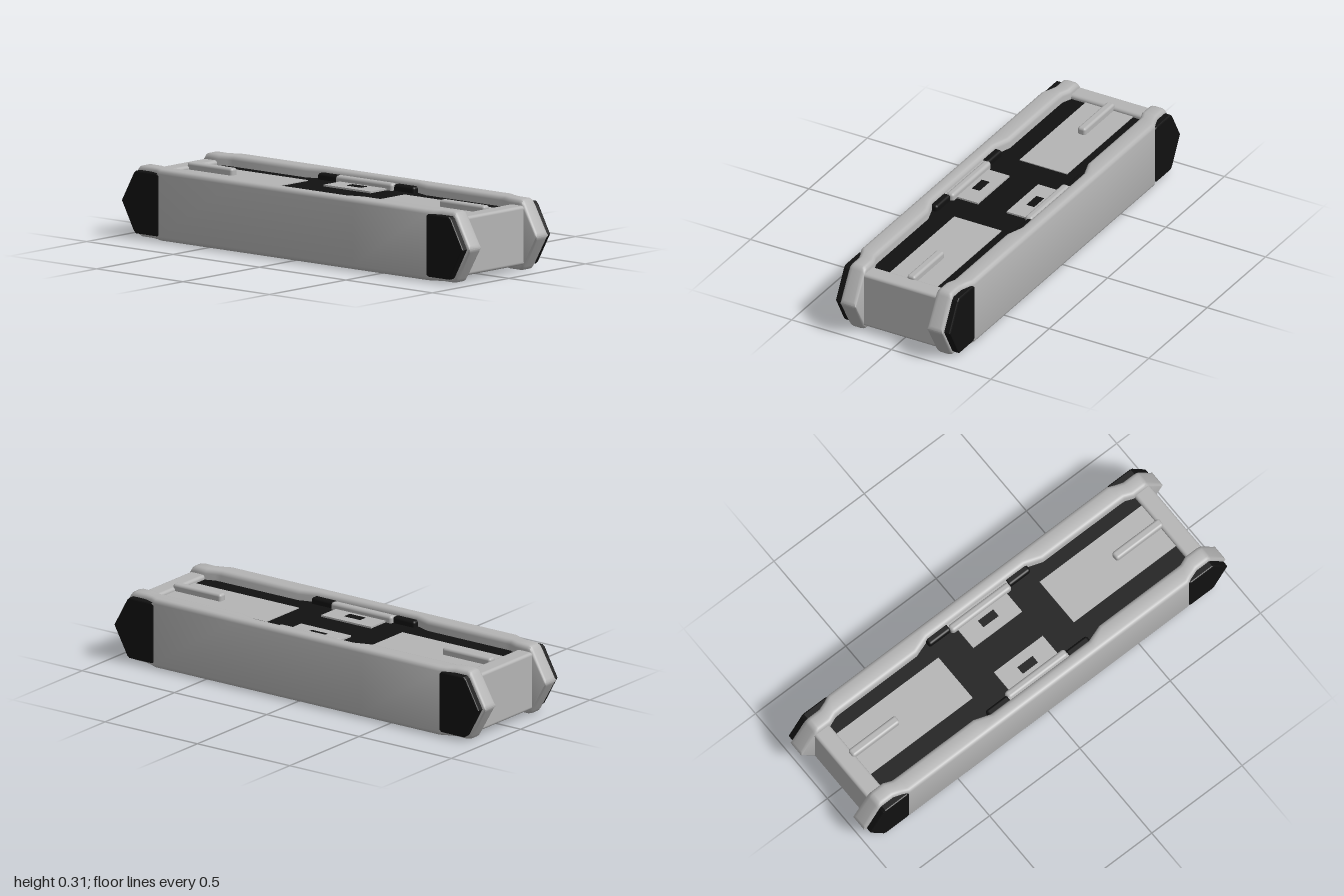
import * as THREE from 'three';
import { toCreasedNormals } from 'three/addons/utils/BufferGeometryUtils.js';
import { RoundedBoxGeometry } from 'three/addons/geometries/RoundedBoxGeometry.js';

const gray = new THREE.MeshStandardMaterial({ color: 0xb4b4b4 });
gray.name = 'light gray';
const black = new THREE.MeshStandardMaterial({ color: 0x111111 });
black.name = 'black';

// Box given by its limits on each axis, with optional rounded edges
function box(parent, name, mat, [x0, x1], [y0, y1], [z0, z1], r = 0) {
  const size = [x1 - x0, y1 - y0, z1 - z0];
  const geo = r ? new RoundedBoxGeometry(...size, 3, r) : new THREE.BoxGeometry(...size);
  const mesh = new THREE.Mesh(geo, mat);
  mesh.position.set((x0 + x1) / 2, (y0 + y1) / 2, (z0 + z1) / 2);
  mesh.name = name;
  parent.add(mesh);
}

// Limits mirrored to the side given by s
const side = (s, a, b) => (s > 0 ? [a, b] : [-b, -a]);

// Rail lofted along x from rounded rectangles: x, half height, inner z, outer z
function railGeometry() {
  const half = [
    [0.27, 0.157, 0.222, 0.286], [0.35, 0.157, 0.195, 0.286], [0.77, 0.157, 0.195, 0.286],
    [0.80, 0.157, 0.194, 0.272], [0.84, 0.157, 0.178, 0.258], [0.90, 0.157, 0.178, 0.258],
    [0.915, 0.152, 0.178, 0.258], [0.925, 0.138, 0.178, 0.258],
    [0.993, 0.016, 0.178, 0.258], [1, 0.003, 0.18, 0.256],
  ];
  const stations = [...half.map(([x, ...rest]) => [-x, ...rest]).reverse(), ...half];
  const pos = [], index = [], n = 16;
  for (const [x, h, zi, zo] of stations) {
    const r = Math.min(0.02, h), w = (zo - zi) / 2, zc = (zo + zi) / 2;
    for (let q = 0; q < 4; q++) {
      const sy = q === 0 || q === 3 ? 1 : -1, sz = q < 2 ? 1 : -1;
      for (let k = 0; k < 4; k++) {
        const a = (q + k / 3) * Math.PI / 2;
        pos.push(x, sy * (h - r) + r * Math.cos(a), zc + sz * (w - r) + r * Math.sin(a));
      }
    }
  }
  const last = (stations.length - 1) * n;
  for (let i = 0; i < last; i += n) {
    for (let j = 0; j < n; j++) {
      const k = (j + 1) % n;
      index.push(i + j, i + k, i + n + j, i + k, i + n + k, i + n + j);
    }
  }
  for (let j = 1; j < n - 1; j++) index.push(0, j + 1, j, last, last + j, last + j + 1);
  const geo = new THREE.BufferGeometry();
  geo.setAttribute('position', new THREE.Float32BufferAttribute(pos, 3));
  geo.setIndex(index);
  return toCreasedNormals(geo, 0.7);
}

// Pointed pad on the outer face of a rail end
function endPad(s) {
  const pts = [[0.775, 0.13], [0.785, 0.138], [0.905, 0.138], [0.917, 0.128], [0.987, 0]];
  const outline = [...pts, ...pts.slice(0, -1).reverse().map(([x, y]) => [x, -y])];
  const shape = new THREE.Shape(outline.map(([x, y]) => new THREE.Vector2(s * x, y)));
  const geo = new THREE.ExtrudeGeometry(shape, {
    depth: 0.035, bevelEnabled: true, bevelSize: 0.006, bevelOffset: -0.006,
    bevelThickness: 0.006, bevelSegments: 2,
  });
  const mesh = new THREE.Mesh(geo, black);
  mesh.position.z = 0.247;
  mesh.name = s > 0 ? 'leftEndPad' : 'rightEndPad';
  return mesh;
}

// Long rail with its pads, clips and small center plates
function sideAssembly(name) {
  const g = new THREE.Group();
  g.name = name;
  const rail = new THREE.Mesh(railGeometry(), gray);
  rail.name = 'rail';
  g.add(rail, endPad(1), endPad(-1));
  for (const s of [1, -1]) {
    box(g, 'clip', gray, [-0.165, 0.165], side(s, 0.09, 0.142), [0.178, 0.216], 0.014);
    box(g, 'clipBack', gray, [-0.165, 0.165], side(s, 0.09, 0.135), [0.205, 0.24]);
    box(g, 'centerPlate', gray, [-0.135, 0.135], side(s, 0.10, 0.118), [0.072, 0.185]);
    box(g, 'plateSlot', black, [-0.042, 0.042], side(s, 0.115, 0.120), [0.118, 0.156]);
    for (const t of [1, -1]) {
      box(g, 'hingeBlock', black, side(t, 0.16, 0.28), side(s, 0.08, 0.138), [0.192, 0.232], 0.012);
    }
  }
  return g;
}

export function createModel() {
  const model = new THREE.Group();
  model.name = 'doubleRailUnit';
  const body = new THREE.Group();
  body.name = 'body';
  body.position.y = 0.165;
  model.add(body);

  // Dark core between the rails
  box(body, 'core', black, [-0.86, 0.86], [-0.11, 0.11], [-0.235, 0.235]);

  // End walls, deck panels and ribs on both faces
  for (const t of [1, -1]) {
    box(body, 'endWall', gray, side(t, 0.845, 0.928), [-0.13, 0.13], [-0.2, 0.2], 0.014);
    for (const s of [1, -1]) {
      box(body, 'deckPanel', gray, side(t, 0.28, 0.85), side(s, 0.109, 0.114), [-0.132, 0.106]);
      box(body, 'rib', gray, side(t, 0.6, 0.86), side(s, 0.10, 0.145), [-0.035, 0.005], 0.012);
    }
  }

  // Two matching sides
  const front = sideAssembly('frontSide');
  const back = sideAssembly('backSide');
  back.rotation.y = Math.PI;
  body.add(front, back);
  return model;
}
